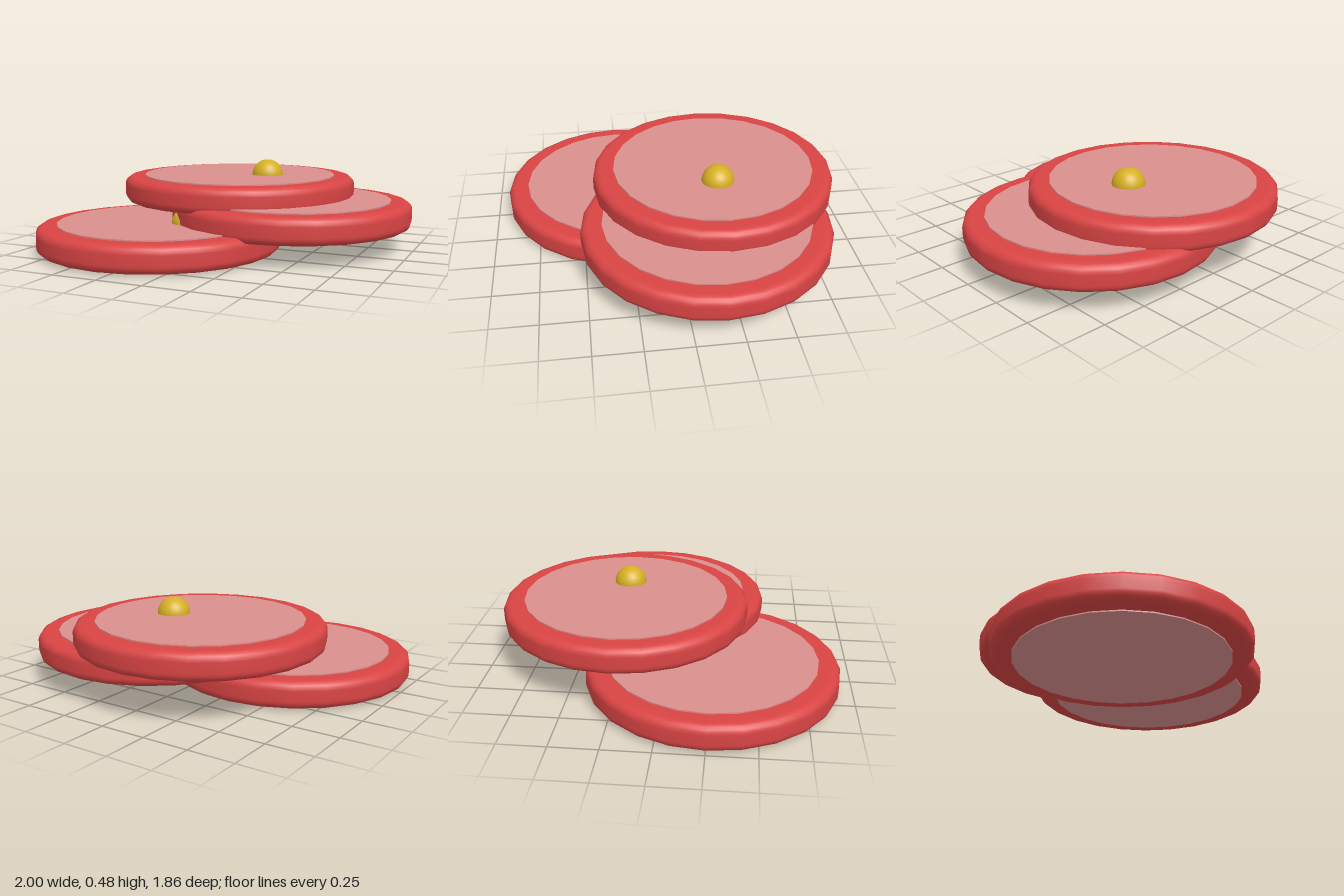
import * as THREE from 'three';

const SIDES = 24;
const HEIGHT = 0.16;
const RADIUS = 0.68;
const FACE_RADIUS = 0.565;

// Rounded outer profile of the rim, from the bottom inner edge to the top inner edge
function rimProfile() {
  const low = 0.007, high = HEIGHT - 0.007, bevel = 0.045, steps = 5;
  const points = [new THREE.Vector2(FACE_RADIUS - 0.01, low), new THREE.Vector2(RADIUS - bevel - 0.01, low)];
  for (const [cy, start] of [[low + bevel, -Math.PI / 2], [high - bevel, 0]]) {
    for (let i = 0; i <= steps; i++) {
      const a = start + (i / steps) * Math.PI / 2;
      points.push(new THREE.Vector2(RADIUS - bevel + bevel * Math.cos(a), cy + bevel * Math.sin(a)));
    }
  }
  points.push(new THREE.Vector2(RADIUS - bevel - 0.01, high), new THREE.Vector2(FACE_RADIUS - 0.01, high));
  return points;
}

export function createModel() {
  const material = (name, color) => {
    const m = new THREE.MeshStandardMaterial({ color });
    m.name = name;
    return m;
  };
  const red = material('red rim', 0xd94444);
  const pink = material('pink face', 0xd98f8d);
  const gold = material('gold bead', 0xd6b022);

  const rimGeometry = new THREE.LatheGeometry(rimProfile(), SIDES);
  const faceGeometry = new THREE.CylinderGeometry(FACE_RADIUS, FACE_RADIUS, HEIGHT, SIDES);
  const beadGeometry = new THREE.SphereGeometry(0.09, 24, 16);

  const model = new THREE.Group();
  model.name = 'stackedDiscs';

  // Three overlapping discs, lowest first: x, y, z
  const places = [
    [-0.32, 0, 0.25],
    [0.315, 0.114, -0.16],
    [-0.045, 0.229, -0.25],
  ];
  const levels = ['lower', 'middle', 'upper'];
  places.forEach((place, i) => {
    const disc = new THREE.Group();
    disc.name = levels[i] + 'Disc';
    disc.position.set(...place);

    const rim = new THREE.Mesh(rimGeometry, red);
    rim.name = 'rim';

    // Faces stand slightly proud of the rim above and below
    const face = new THREE.Mesh(faceGeometry, pink);
    face.name = 'face';
    face.position.y = HEIGHT / 2;

    // Bead half sunk into the top, off centre
    const bead = new THREE.Mesh(beadGeometry, gold);
    bead.name = 'bead';
    bead.position.set(0.18, HEIGHT - 0.001, 0);

    disc.add(rim, face, bead);
    model.add(disc);
  });
  return model;
}
